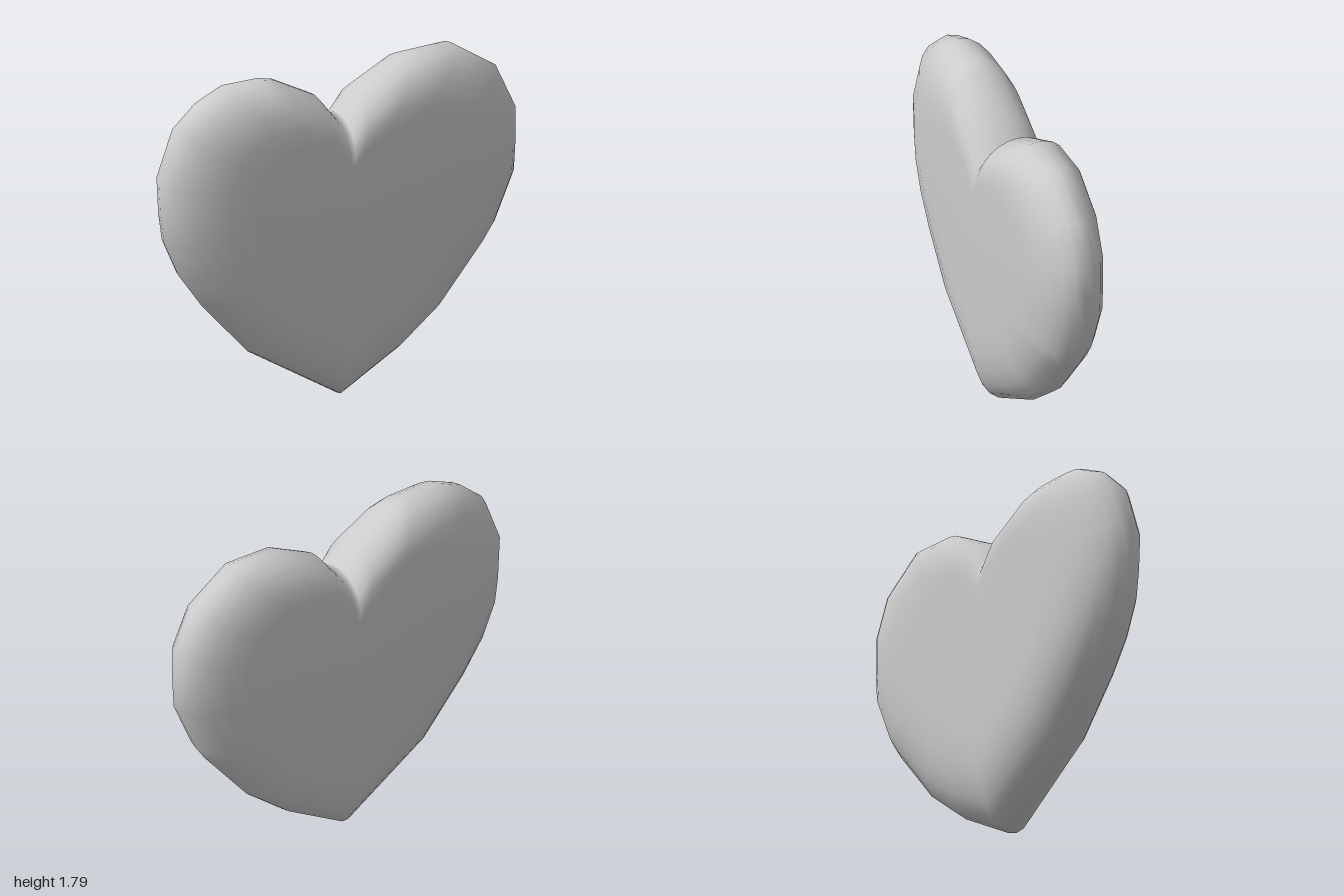
import * as THREE from 'three';

// Heart outline, counter-clockwise seen from the front, starting at the bottom tip
const outline = [
  [0, 0], [0.34, 0.2], [0.56, 0.38], [0.82, 0.7], [0.88, 0.79], [0.99, 1.05], [1, 1.22], [1, 1.4],
  [0.9, 1.62], [0.65, 1.79], [0.37, 1.78], [0.12, 1.65], [0.02, 1.52],
  [-0.02, 1.52], [-0.12, 1.65], [-0.34, 1.77], [-0.42, 1.79], [-0.63, 1.79], [-0.78, 1.72], [-0.91, 1.6],
  [-1, 1.35], [-0.99, 1.15], [-0.97, 1.0], [-0.89, 0.81], [-0.76, 0.62], [-0.5, 0.32],
];
const centreY = 1.05, halfDepth = 0.2, flatScale = 0.55, steps = 12;

// The outline shrinks towards its centre as it rounds over to the front and back
function heartGeometry() {
  const n = outline.length;
  const positions = [0, centreY, -halfDepth];
  for (let j = 0; j <= steps; j++) {
    const a = Math.PI * (j / steps - 0.5);
    const s = flatScale + (1 - flatScale) * Math.pow(Math.max(0, Math.cos(a)), 0.83);
    for (const [x, y] of outline) {
      positions.push(x * s, centreY + (y - centreY) * s, halfDepth * Math.sin(a));
    }
  }
  positions.push(0, centreY, halfDepth);

  const index = [];
  const at = (j, i) => 1 + j * n + (i % n);
  const frontPole = 1 + (steps + 1) * n;
  for (let i = 0; i < n; i++) {
    index.push(0, at(0, i + 1), at(0, i)); // back face
    for (let j = 0; j < steps; j++) { // rounded rim
      index.push(at(j, i), at(j, i + 1), at(j + 1, i + 1));
      index.push(at(j, i), at(j + 1, i + 1), at(j + 1, i));
    }
    index.push(frontPole, at(steps, i), at(steps, i + 1)); // front face
  }

  const geometry = new THREE.BufferGeometry();
  geometry.setAttribute('position', new THREE.Float32BufferAttribute(positions, 3));
  geometry.setIndex(index);
  geometry.computeVertexNormals();
  return geometry;
}

export function createModel() {
  const group = new THREE.Group();
  group.name = 'heart';
  const body = new THREE.Mesh(heartGeometry(), new THREE.MeshStandardMaterial({ color: 0xcccccc }));
  body.name = 'heartBody';
  group.add(body);
  return group;
}
